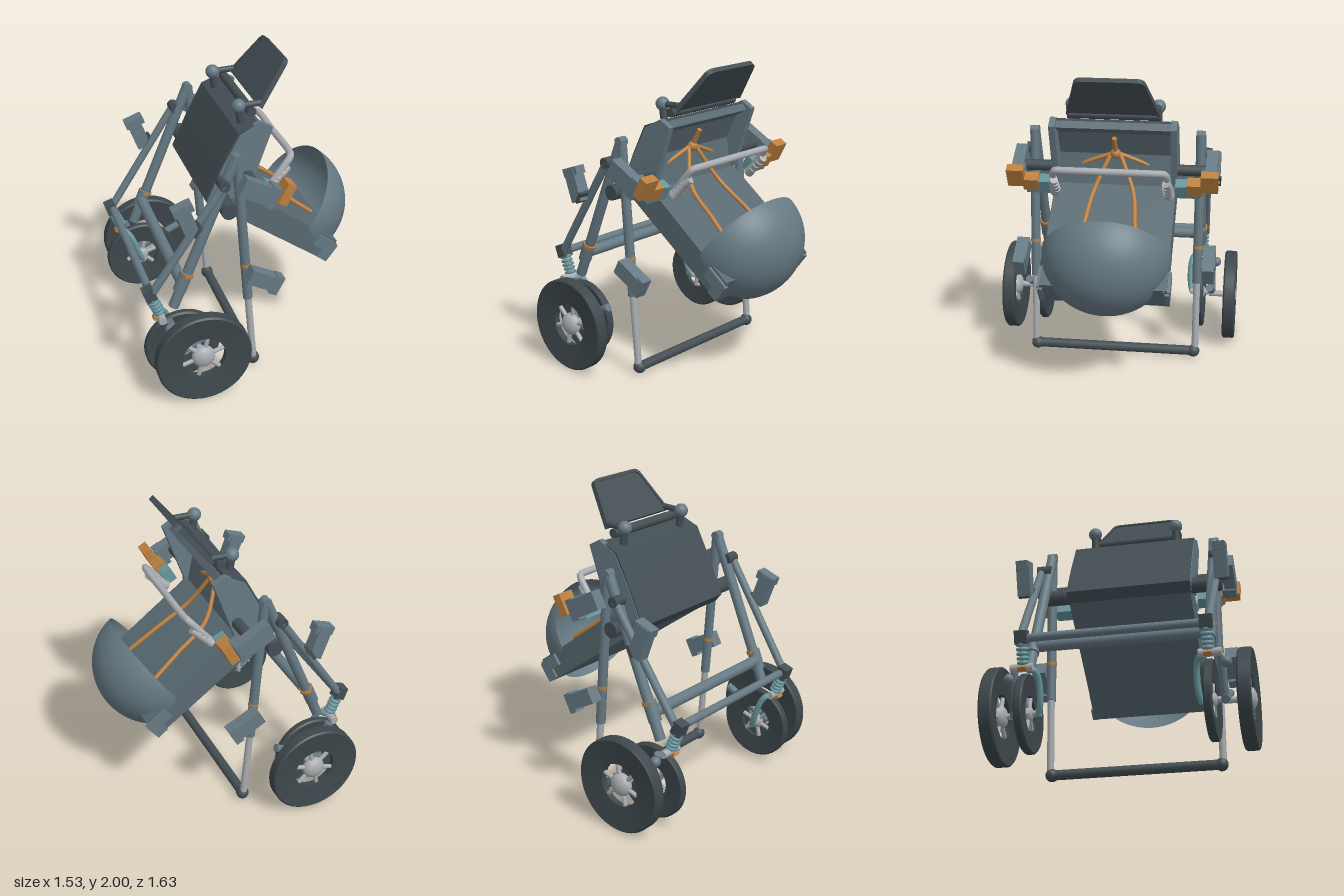
import * as THREE from 'three';

const mat = (name, color) => {
  const m = new THREE.MeshStandardMaterial({ color, side: THREE.DoubleSide });
  m.name = name;
  return m;
};
const V = (x, y, z) => new THREE.Vector3(x, y, z);

export function createModel() {
  const body = mat('slate', 0x667983);
  const tub = mat('deep slate', 0x596971);
  const dark = mat('charcoal', 0x434e53);
  const tyre = mat('tyre', 0x3d474b);
  const light = mat('light metal', 0xa9adb1);
  const orange = mat('orange', 0xbb803f);
  const teal = mat('teal', 0x66959c);

  const model = new THREE.Group();
  const add = (name, geo, m, parent = model) => {
    const mesh = new THREE.Mesh(geo, m);
    mesh.name = name;
    parent.add(mesh);
    return mesh;
  };
  // straight tube between two points
  const rod = (name, a, b, r, m, r2 = r, parent = model) => {
    const d = b.clone().sub(a);
    const mesh = add(name, new THREE.CylinderGeometry(r2, r, d.length(), 16), m, parent);
    mesh.position.copy(a).addScaledVector(d, 0.5);
    mesh.quaternion.setFromUnitVectors(V(0, 1, 0), d.normalize());
    return mesh;
  };
  const ball = (name, p, r, m, parent = model) => {
    const mesh = add(name, new THREE.SphereGeometry(r, 20, 14), m, parent);
    mesh.position.copy(p);
    return mesh;
  };
  // box turned about z
  const box = (name, p, w, h, d, deg, m) => {
    const mesh = add(name, new THREE.BoxGeometry(w, h, d), m);
    mesh.position.copy(p);
    mesh.rotation.z = THREE.MathUtils.degToRad(deg);
    return mesh;
  };
  // side-view outline extruded across z0..z1
  const slab = (name, pts, z0, z1, m) => {
    const shape = new THREE.Shape(pts.map(p => new THREE.Vector2(p[0], p[1])));
    const geo = new THREE.ExtrudeGeometry(shape, { depth: z1 - z0, bevelEnabled: false });
    geo.translate(0, 0, z0);
    return add(name, geo, m);
  };
  const curve = (name, pts, r, m) =>
    add(name, new THREE.TubeGeometry(new THREE.CatmullRomCurve3(pts, false, 'centripetal'), 48, r, 12), m);

  // spoked wheel with dished sides
  const wheel = (name, p, r, hole, half, hub) => {
    const g = new THREE.Group();
    g.name = name;
    const pts = [[hole, -half * 0.5], [r - 0.01, -half], [r, -half + 0.01], [r, half - 0.01],
      [r - 0.01, half], [hole, half * 0.5], [hole, -half * 0.5]].map(q => new THREE.Vector2(q[0], q[1]));
    for (let i = 0; i < pts.length - 1; i++) {
      const ring = new THREE.LatheGeometry([pts[i], pts[i + 1]], 56);
      ring.rotateX(Math.PI / 2);
      add('tyre', ring, tyre, g);
    }
    ball('hub', V(0, 0, 0), hub, light, g).scale.z = 0.65;
    for (let i = 0; i < 6; i++) {
      const a = i * Math.PI / 3 + 0.3;
      rod('spoke', V(0, 0, 0), V(Math.cos(a) * hole, Math.sin(a) * hole, 0), 0.014, light, 0.014, g);
    }
    g.position.copy(p);
    model.add(g);
  };

  for (const s of [1, -1]) {
    const P = (x, y, z) => V(x, y, z * s);

    // wheels, axles and fork
    wheel('mainWheel', P(-0.44, 0.31, 0.767), 0.307, 0.14, 0.042, 0.075);
    wheel('innerWheel', P(-0.522, 0.285, 0.56), 0.245, 0.11, 0.026, 0.05);
    rod('axle', P(-0.44, 0.31, 0.62), P(-0.44, 0.31, 0.77), 0.02, light);
    rod('forkAxle', P(-0.522, 0.285, 0.48), P(-0.522, 0.285, 0.66), 0.02, light);
    rod('axleArm', P(-0.56, 0.27, 0.64), P(-0.23, 0.44, 0.63), 0.026, body);
    rod('outerFork', P(-0.62, 0.52, 0.63), P(-0.522, 0.285, 0.635), 0.026, body);
    ball('axleKnob', P(-0.62, 0.48, 0.66), 0.034, body);
    curve('innerFork', [P(-0.65, 0.52, 0.54), P(-0.63, 0.515, 0.5), P(-0.6, 0.47, 0.482),
      P(-0.55, 0.33, 0.482), P(-0.522, 0.27, 0.5)], 0.02, teal);
    rod('forkCrown', P(-0.66, 0.53, 0.5), P(-0.66, 0.53, 0.64), 0.026, light);
    box('forkClip', P(-0.69, 0.515, 0.56), 0.03, 0.02, 0.05, -30, orange);

    // suspension spring
    rod('springCore', P(-0.72, 0.68, 0.56), P(-0.655, 0.53, 0.56), 0.02, light);
    for (let i = 0; i < 5; i++) {
      const coil = add('springCoil', new THREE.TorusGeometry(0.028, 0.012, 8, 18), teal);
      coil.position.copy(P(-0.71 + i * 0.011, 0.66 - i * 0.025, 0.56));
      coil.quaternion.setFromUnitVectors(V(0, 0, 1), V(0.4, -0.92, 0).normalize());
    }
    box('springCap', P(-0.725, 0.7, 0.56), 0.07, 0.085, 0.075, 20, dark);

    // frame legs
    rod('rearLeg', P(-0.165, 1.54, 0.55), P(-0.57, 0.57, 0.55), 0.034, body);
    rod('rearLegSleeve', P(-0.48, 0.8, 0.55), P(-0.53, 0.68, 0.55), 0.042, body);
    rod('rearStay', P(-0.25, 1.4, 0.595), P(-0.7, 0.72, 0.575), 0.026, body);
    rod('rearLegRing', P(-0.474, 0.8, 0.55), P(-0.483, 0.78, 0.55), 0.044, orange);
    rod('frontLeg', P(-0.155, 1.55, 0.55), P(-0.08, 0.54, 0.55), 0.031, body);
    rod('frontLegLower', P(-0.08, 0.55, 0.55), P(-0.04, 0.05, 0.55), 0.023, light);
    rod('frontLegRing', P(-0.099, 0.8, 0.55), P(-0.097, 0.78, 0.55), 0.034, orange);
    rod('legJoint', P(-0.16, 1.545, 0.52), P(-0.16, 1.545, 0.58), 0.03, body);
    rod('stayJoint', P(-0.25, 1.4, 0.53), P(-0.25, 1.4, 0.62), 0.035, dark);
    ball('foot', P(-0.04, 0.05, 0.54), 0.042, dark);

    // seat mounts
    rod('seatPivot', P(-0.215, 1.21, 0.36), P(-0.215, 1.21, 0.6), 0.05, dark);
    rod('seatMount', P(-0.04, 1.34, 0.38), P(-0.04, 1.34, 0.62), 0.036, dark);

    // side brackets and clamps
    box('rearBracket', P(-0.495, 1.22, 0.63), 0.09, 0.22, 0.085, 20, body);
    box('rearBracketHead', P(-0.52, 1.305, 0.63), 0.13, 0.055, 0.075, 20, body);
    box('rearBracketLip', P(-0.435, 1.15, 0.63), 0.02, 0.08, 0.1, -30, dark);
    box('lowerBracket', P(-0.015, 0.72, 0.63), 0.2, 0.1, 0.085, -28, body);
    box('lowerBracketHead', P(0.075, 0.665, 0.63), 0.055, 0.13, 0.075, -28, body);
    box('upperBracket', P(-0.05, 1.35, 0.63), 0.23, 0.12, 0.075, -28, body);
    box('upperBracketHead', P(0.04, 1.3, 0.62), 0.06, 0.14, 0.09, -28, body);
    box('clampOuter', P(0.125, 1.315, 0.625), 0.06, 0.14, 0.11, -28, orange);
    box('clampInner', P(0.09, 1.27, 0.53), 0.08, 0.09, 0.1, -28, orange);
    box('clampBlock', P(0.07, 1.25, 0.485), 0.075, 0.1, 0.16, -28, teal);

    // seat side wings
    slab('seatWing', [[0.04, 1.69], [0.12, 1.645], [-0.03, 1.23], [-0.25, 1.16], [-0.3, 1.2],
      [-0.2, 1.42], [-0.09, 1.62]], s * 0.39 - 0.02, s * 0.39 + 0.02, body);
    box('footBracket', P(0.49, 0.75, 0.395), 0.15, 0.08, 0.05, -37, body);
    box('footBracketTab', P(0.51, 0.69, 0.4), 0.08, 0.13, 0.03, -37, body);

    // headrest hinge
    ball('headrestKnob', P(-0.06, 1.755, 0.28), 0.045, body);
    rod('headrestArm', P(-0.06, 1.755, 0.28), P(0.08, 1.76, 0.28), 0.02, dark);
    rod('headrestStrut', P(-0.06, 1.74, 0.28), P(-0.04, 1.62, 0.28), 0.025, dark);

    // harness straps
    curve('lowerStrap', [P(-0.07, 1.43, 0.03), P(0.05, 1.2, 0.13), P(0.26, 1.04, 0.165),
      P(0.47, 0.88, 0.2)], 0.014, orange);
    rod('sideStrap', P(-0.07, 1.43, 0.02), P(-0.1, 1.31, 0.32), 0.014, orange);

    // grips at the ends of the grab bar
    for (let i = 0; i < 4; i++) {
      rod('gripFold', P(0.11 + i * 0.028, 1.21 + i * 0.028, 0.37), P(0.16 + i * 0.028, 1.25 + i * 0.028, 0.355),
        0.034 - i * 0.002, light, 0.026);
    }
  }

  // cross bars
  rod('groundBar', V(-0.04, 0.05, -0.53), V(-0.04, 0.05, 0.53), 0.032, dark);
  rod('rearCrossBar', V(-0.51, 0.735, -0.55), V(-0.51, 0.735, 0.55), 0.037, body);
  rod('stayCrossBar', V(-0.715, 0.7, -0.55), V(-0.715, 0.7, 0.55), 0.026, body);
  rod('headrestBar', V(0.02, 1.71, -0.3), V(0.02, 1.71, 0.3), 0.03, dark);

  // seat base, back shell and lining
  slab('seatBase', [[-0.25, 1.15], [0.5, 0.615], [0.58, 0.75], [-0.05, 1.22], [-0.2, 1.22]], -0.4, 0.4, tub);
  slab('backShell', [[0.03, 1.68], [-0.1, 1.63], [-0.21, 1.42], [-0.31, 1.2], [-0.26, 1.14], [-0.23, 1.17],
    [-0.27, 1.21], [-0.17, 1.41], [-0.07, 1.6], [0.04, 1.65]], -0.405, 0.405, dark);
  slab('backLining', [[0.08, 1.63], [0.05, 1.67], [-0.05, 1.61], [-0.17, 1.41], [-0.24, 1.22], [-0.05, 1.21],
    [-0.09, 1.42], [-0.01, 1.58]], -0.37, 0.37, tub);

  // harness centre
  rod('topStrap', V(-0.07, 1.42, 0), V(0.0, 1.55, 0), 0.016, orange);
  ball('buckle', V(-0.065, 1.43, 0), 0.035, orange);

  // grab bar
  curve('grabBar', [V(0.13, 1.24, 0.37), V(0.21, 1.34, 0.365), V(0.26, 1.4, 0.35), V(0.27, 1.405, 0.3),
    V(0.27, 1.405, 0), V(0.27, 1.405, -0.3), V(0.26, 1.4, -0.35), V(0.21, 1.34, -0.365),
    V(0.13, 1.24, -0.37)], 0.023, light);

  // headrest: rounded trapezoid panel with a raised rim
  const panel = k => {
    const sh = new THREE.Shape();
    sh.moveTo(-0.3 * k, 0.005);
    sh.lineTo(-0.225 * k, 0.29 * k);
    sh.quadraticCurveTo(-0.215 * k, 0.33 * k, -0.17 * k, 0.33 * k);
    sh.lineTo(0.17 * k, 0.33 * k);
    sh.quadraticCurveTo(0.215 * k, 0.33 * k, 0.225 * k, 0.29 * k);
    sh.lineTo(0.3 * k, 0.005);
    sh.closePath();
    return sh;
  };
  const rim = panel(1);
  rim.holes.push(panel(0.94));
  const head = new THREE.Group();
  head.name = 'headrest';
  const plate = (name, shape, depth) => {
    const geo = new THREE.ExtrudeGeometry(shape, { depth, bevelEnabled: false, curveSegments: 8 });
    geo.translate(0, 0, -depth / 2);
    add(name, geo, dark, head);
  };
  plate('headrestPanel', panel(0.97), 0.018);
  plate('headrestRim', rim, 0.034);
  const along = V(0.2, 0.26, 0).normalize();
  head.applyMatrix4(new THREE.Matrix4().makeBasis(V(0, 0, 1), along, V(-along.y, along.x, 0)));
  head.position.set(0.07, 1.73, 0);
  model.add(head);

  // canopy: open wedge of a sphere turned about z
  const rad = THREE.MathUtils.degToRad;
  const dome = new THREE.SphereGeometry(0.387, 28, 32, rad(113), rad(120));
  dome.rotateX(Math.PI / 2);
  dome.scale(1, 1, 1.07);
  dome.translate(0.373, 0.89, 0);
  add('canopy', dome, body);

  return model;
}
